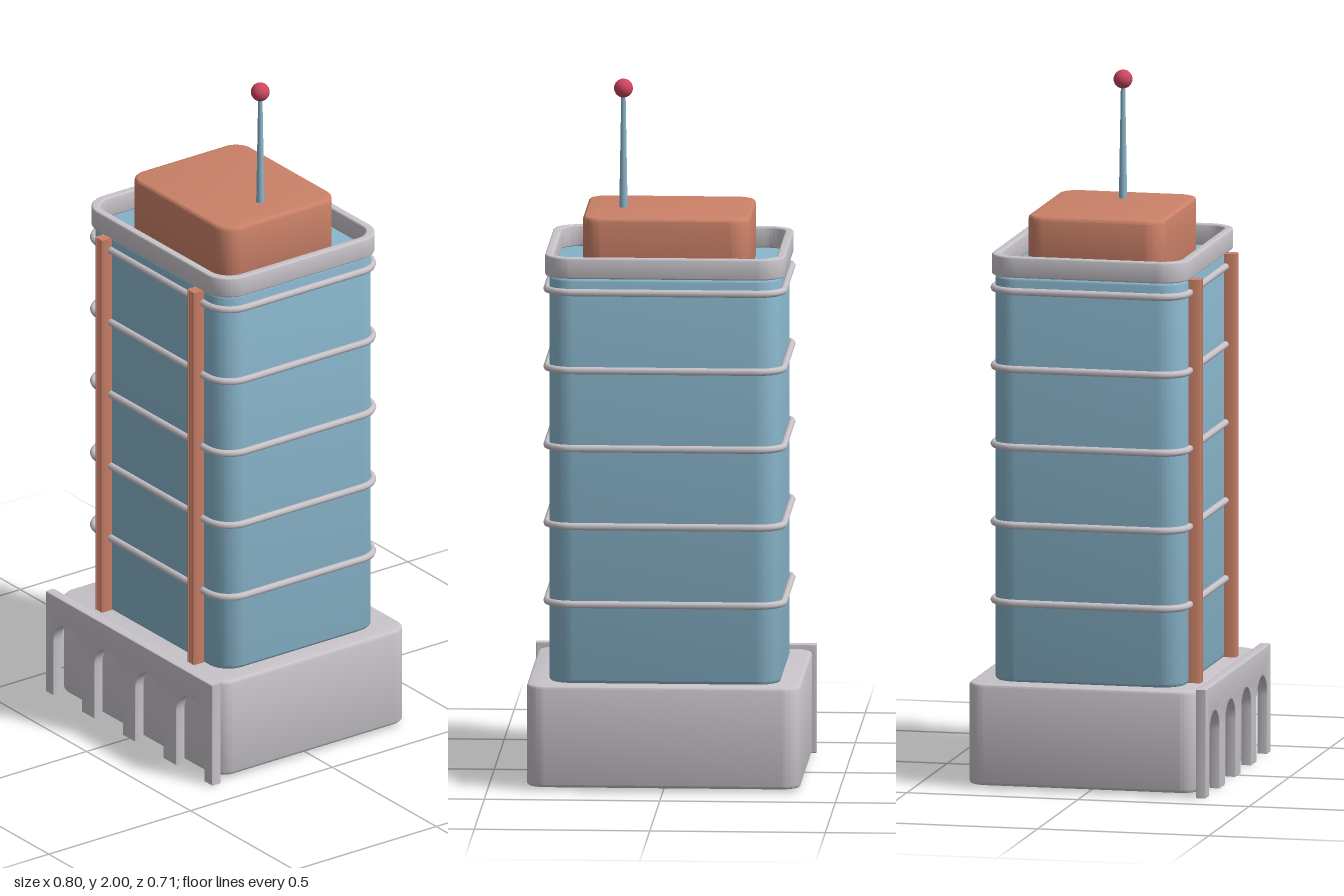
import * as THREE from 'three';
import { toCreasedNormals } from 'three/addons/utils/BufferGeometryUtils.js';

const material = (name, color) => {
  const m = new THREE.MeshStandardMaterial({ color });
  m.name = name;
  return m;
};

// Rounded rectangle outline centred on the origin
function roundedRect(w, d, r, Type = THREE.Shape) {
  const x = w / 2, y = d / 2, q = Math.PI / 2, s = new Type();
  s.moveTo(-x + r, -y);
  s.lineTo(x - r, -y);
  s.absarc(x - r, -y + r, r, -q, 0);
  s.lineTo(x, y - r);
  s.absarc(x - r, y - r, r, 0, q);
  s.lineTo(-x + r, y);
  s.absarc(-x + r, y - r, r, q, 2 * q);
  s.lineTo(-x, -y + r);
  s.absarc(-x + r, -y + r, r, 2 * q, 3 * q);
  return s;
}

// Extrusion with bevelled edges that stay inside the outline
function extrude(shape, depth, bevel) {
  const g = new THREE.ExtrudeGeometry(shape, {
    depth: depth - 2 * bevel, curveSegments: 10, bevelEnabled: bevel > 0,
    bevelThickness: bevel, bevelSize: bevel, bevelOffset: -bevel, bevelSegments: 3,
  });
  g.translate(0, 0, bevel);
  return toCreasedNormals(g, 0.6);
}

// Upright extrusion from y0 to y1
const upright = (shape, y0, y1, bevel) =>
  extrude(shape, y1 - y0, bevel).rotateX(-Math.PI / 2).translate(0, y0, 0);

export function createModel() {
  const stone = material('stone', 0xc8c4ca);
  const glass = material('blueGlass', 0x89b6cc);
  const clay = material('terracotta', 0xcb8168);
  const red = material('beaconRed', 0xcc4660);

  const model = new THREE.Group();
  model.name = 'tower';
  const add = (name, geometry, mat, x = 0, y = 0, z = 0) => {
    const mesh = new THREE.Mesh(geometry, mat);
    mesh.name = name;
    mesh.position.set(x, y, z);
    model.add(mesh);
    return mesh;
  };
  const zc = -0.017; // depth centre of the building

  // Podium and main shaft
  add('podium', upright(roundedRect(0.78, 0.674, 0.055), 0.01, 0.302, 0.008), stone, 0, 0, zc);
  add('shaft', upright(roundedRect(0.66, 0.556, 0.07), 0.3, 1.47, 0.01), glass, 0, 0, zc);

  // Arcade wall: four arches open at the ground
  const wall = new THREE.Shape();
  const r = 0.068, spring = 0.172, foot = 0.004;
  wall.moveTo(-0.4, foot);
  for (const cx of [-0.295, -0.098, 0.098, 0.295]) {
    wall.lineTo(cx - r, foot);
    wall.lineTo(cx - r, spring);
    wall.absarc(cx, spring, r, Math.PI, 0, true);
    wall.lineTo(cx + r, foot);
  }
  wall.lineTo(0.4, foot);
  wall.lineTo(0.4, 0.317);
  wall.lineTo(-0.4, 0.317);
  wall.closePath();
  add('arcade', extrude(wall, 0.031, 0.003), stone, 0, -foot, 0.32);

  // Floor bands around the shaft
  const loop = roundedRect(0.674, 0.564, 0.075).getSpacedPoints(120).slice(0, -1)
    .map(p => new THREE.Vector3(p.x, 0, -p.y));
  const band = new THREE.TubeGeometry(new THREE.CatmullRomCurve3(loop, true), 200, 0.0105, 8, true);
  for (let i = 0; i < 5; i++) add('floorBand', band, stone, 0, 0.53 + i * 0.225, zc);

  // Fluted pilasters on the front
  const flute = new THREE.Shape();
  flute.moveTo(-0.018, 0.04);
  flute.lineTo(-0.018, 0.01);
  flute.quadraticCurveTo(-0.017, 0, -0.011, 0);
  flute.absarc(-0.0055, 0, 0.0035, Math.PI, 0, true);
  flute.lineTo(0.002, 0);
  flute.absarc(0.0055, 0, 0.0035, Math.PI, 0, true);
  flute.lineTo(0.011, 0);
  flute.quadraticCurveTo(0.017, 0, 0.018, 0.01);
  flute.lineTo(0.018, 0.04);
  flute.closePath();
  const pilaster = upright(flute, 0.303, 1.467, 0);
  for (const s of [-1, 1]) add('pilaster', pilaster, clay, s * 0.221, 0, 0.297);

  // Roof parapet ring and penthouse
  const ring = roundedRect(0.684, 0.576, 0.08);
  ring.holes.push(roundedRect(0.636, 0.528, 0.06, THREE.Path));
  add('parapet', upright(ring, 1.47, 1.53, 0.004), stone, 0, 0, zc);
  add('penthouse', upright(roundedRect(0.476, 0.4, 0.055), 1.46, 1.63, 0.01), clay, 0, 0, zc);

  // Mast with beacon
  add('mast', new THREE.CylinderGeometry(0.006, 0.012, 0.345, 16), glass, 0.131, 1.7975, zc);
  add('beacon', new THREE.SphereGeometry(0.027, 24, 16), red, 0.131, 1.973, zc);

  return model;
}
